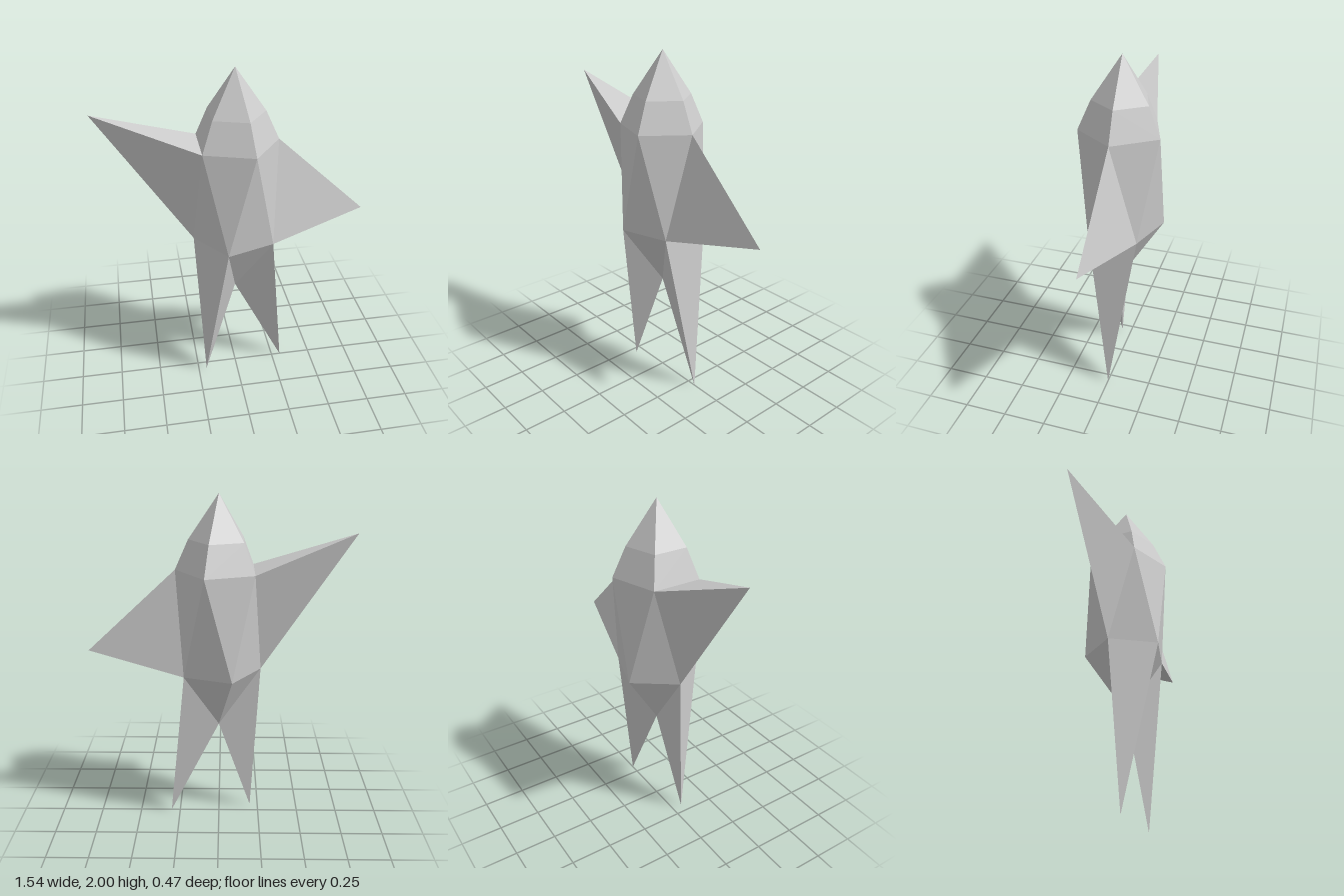
import * as THREE from 'three';
import { ConvexGeometry } from 'three/addons/geometries/ConvexGeometry.js';

const v = (x, y, z) => new THREE.Vector3(x, y, z);

// Five points of a horizontal pentagon; start is the angle of the first one
function ring(radius, y, start) {
  return Array.from({ length: 5 }, (_, i) => {
    const a = start + (i * Math.PI * 2) / 5;
    return v(radius * Math.cos(a), y, radius * Math.sin(a));
  });
}

export function createModel() {
  const model = new THREE.Group();
  model.name = 'starFigure';
  const material = new THREE.MeshStandardMaterial({ color: 0xcccccc, flatShading: true });

  function addHull(name, points) {
    const mesh = new THREE.Mesh(new ConvexGeometry(points), material);
    mesh.name = name;
    model.add(mesh);
  }

  // Pentagon levels: shoulders and hips are turned against each other
  const R = 0.247;
  const shoulders = ring(R, 1.58, 0);
  const hips = ring(R, 0.985, Math.PI);
  const brow = ring(R * 0.69, 1.75, 0);
  const crown = v(0, 2, 0);
  const crotch = v(0, 0.62, 0);

  // Faceted torso with pointed head
  addHull('body', [crown, ...brow, ...shoulders, ...hips, crotch]);

  // Each limb is a spike standing on one triangular face of the body
  addHull('leftArm', [shoulders[0], hips[2], hips[3], v(0.767, 1.095, 0)]);
  addHull('rightArm', [shoulders[2], shoulders[3], hips[0], v(-0.77, 1.785, 0)]);
  addHull('leftLeg', [hips[2], hips[3], crotch, v(0.305, 0, 0)]);
  addHull('rightLeg', [hips[0], hips[4], crotch, v(-0.2, 0.005, 0.06)]);

  return model;
}
